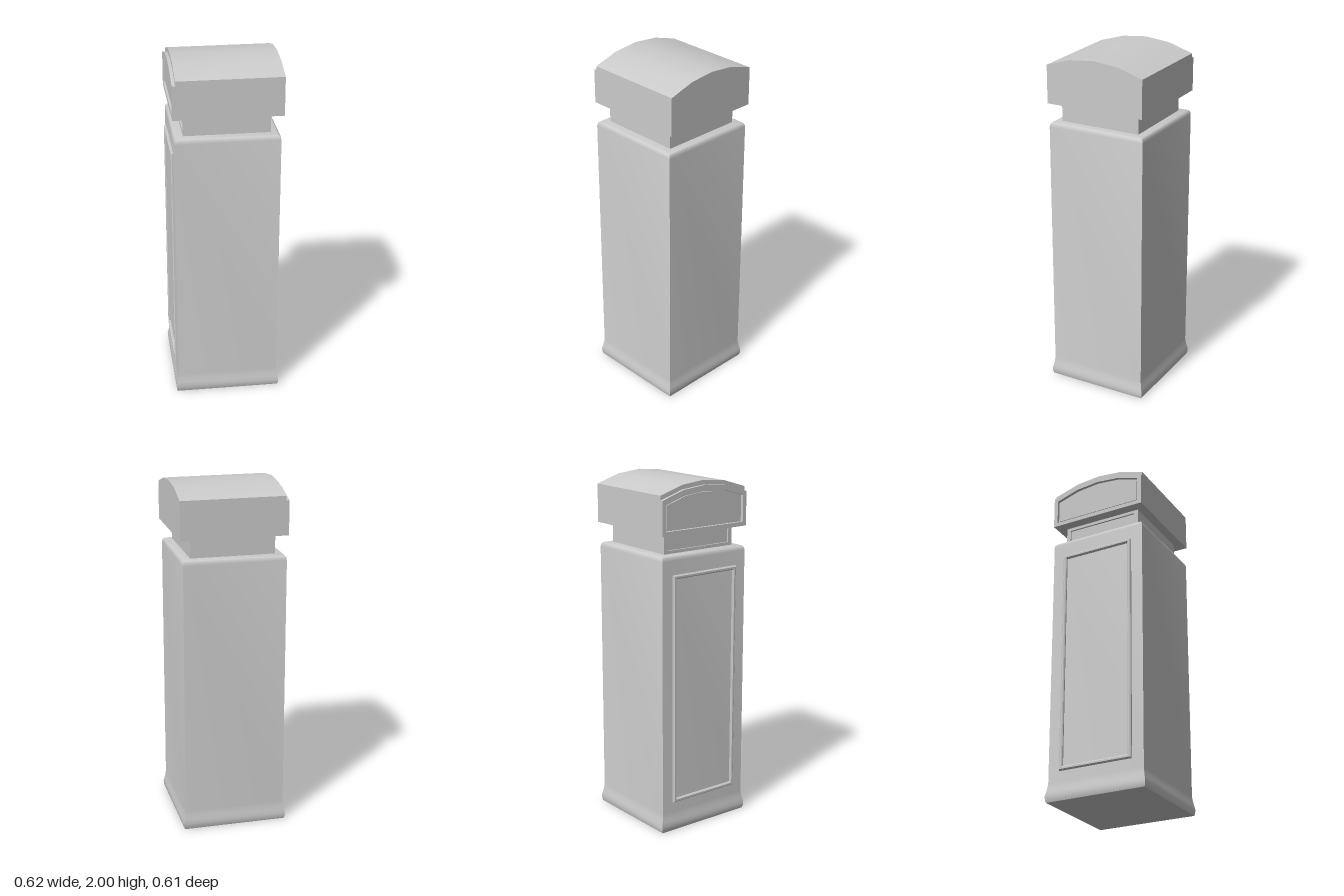
import * as THREE from 'three';
import { toCreasedNormals } from 'three/addons/utils/BufferGeometryUtils.js';

const material = new THREE.MeshStandardMaterial({ color: 0xcccccc });

function addPart(group, name, geometry) {
  const mesh = new THREE.Mesh(toCreasedNormals(geometry, 0.6), material);
  mesh.name = name;
  group.add(mesh);
  return mesh;
}

// Square column: a four-sided lathe whose profile gives half-widths.
function squareColumn(profile) {
  const points = profile.map(([half, y]) => new THREE.Vector2(half * Math.SQRT2, y));
  return new THREE.LatheGeometry(points, 4, Math.PI / 4);
}

// Outline across z and y; the top rises by `rise` in a shallow arc.
function outline(half, bottom, shoulder, rise = 0) {
  const points = [new THREE.Vector2(-half, bottom), new THREE.Vector2(half, bottom)];
  if (rise === 0) {
    points.push(new THREE.Vector2(half, shoulder), new THREE.Vector2(-half, shoulder));
  } else {
    const radius = (half * half + rise * rise) / (2 * rise);
    for (let i = 0; i <= 4; i++) {
      const z = half * (1 - i / 2);
      points.push(new THREE.Vector2(z, shoulder + rise - radius + Math.sqrt(radius * radius - z * z)));
    }
  }
  return points;
}

// Extrude an outline, optionally with an opening, between two x positions.
function slab(outer, x0, x1, inner, bevel = 0) {
  const shape = new THREE.Shape(outer);
  if (inner) shape.holes.push(new THREE.Path(inner));
  const geometry = new THREE.ExtrudeGeometry(shape, {
    depth: x1 - x0 - 2 * bevel,
    bevelEnabled: bevel > 0,
    bevelThickness: bevel,
    bevelSize: bevel,
    bevelOffset: -bevel,
    bevelSegments: 1,
  });
  return geometry.rotateY(Math.PI / 2).translate(x0 + bevel, 0, 0);
}

export function createModel() {
  const model = new THREE.Group();
  model.name = 'pillar';

  // Tall body with a flared foot and a rounded shoulder
  const body = addPart(model, 'body', squareColumn([
    [0, 0], [0.3, 0], [0.304, 0.012], [0.306, 0.035], [0.301, 0.06], [0.296, 0.085], [0.293, 0.11],
    [0.293, 1.58], [0.29, 1.595], [0.283, 1.604], [0.272, 1.608], [0, 1.608],
  ]));
  body.position.x = -0.002;

  // Raised moulding around the side panel
  addPart(model, 'sidePanelMoulding', slab(
    outline(0.223, 0.17, 1.5), -0.309, -0.288, outline(0.201, 0.192, 1.478), 0.006));

  // Recessed neck with a framed side
  addPart(model, 'neck', slab(outline(0.24, 1.6, 1.73), -0.232, 0.24));
  addPart(model, 'neckFrame', slab(
    outline(0.24, 1.6, 1.73), -0.242, -0.232, outline(0.215, 1.626, 1.702)));

  // Arched cap, stepped down to a framed end
  const cap = new THREE.Group();
  cap.name = 'cap';
  cap.position.z = -0.002;
  model.add(cap);
  addPart(cap, 'capBlock', slab(outline(0.295, 1.72, 1.94, 0.06), -0.285, 0.306));
  addPart(cap, 'capEndFrame', slab(
    outline(0.295, 1.72, 1.915, 0.06), -0.303, -0.285, outline(0.271, 1.744, 1.893, 0.056)));
  addPart(cap, 'capEndPanel', slab(outline(0.261, 1.754, 1.884, 0.054), -0.293, -0.285));

  return model;
}
